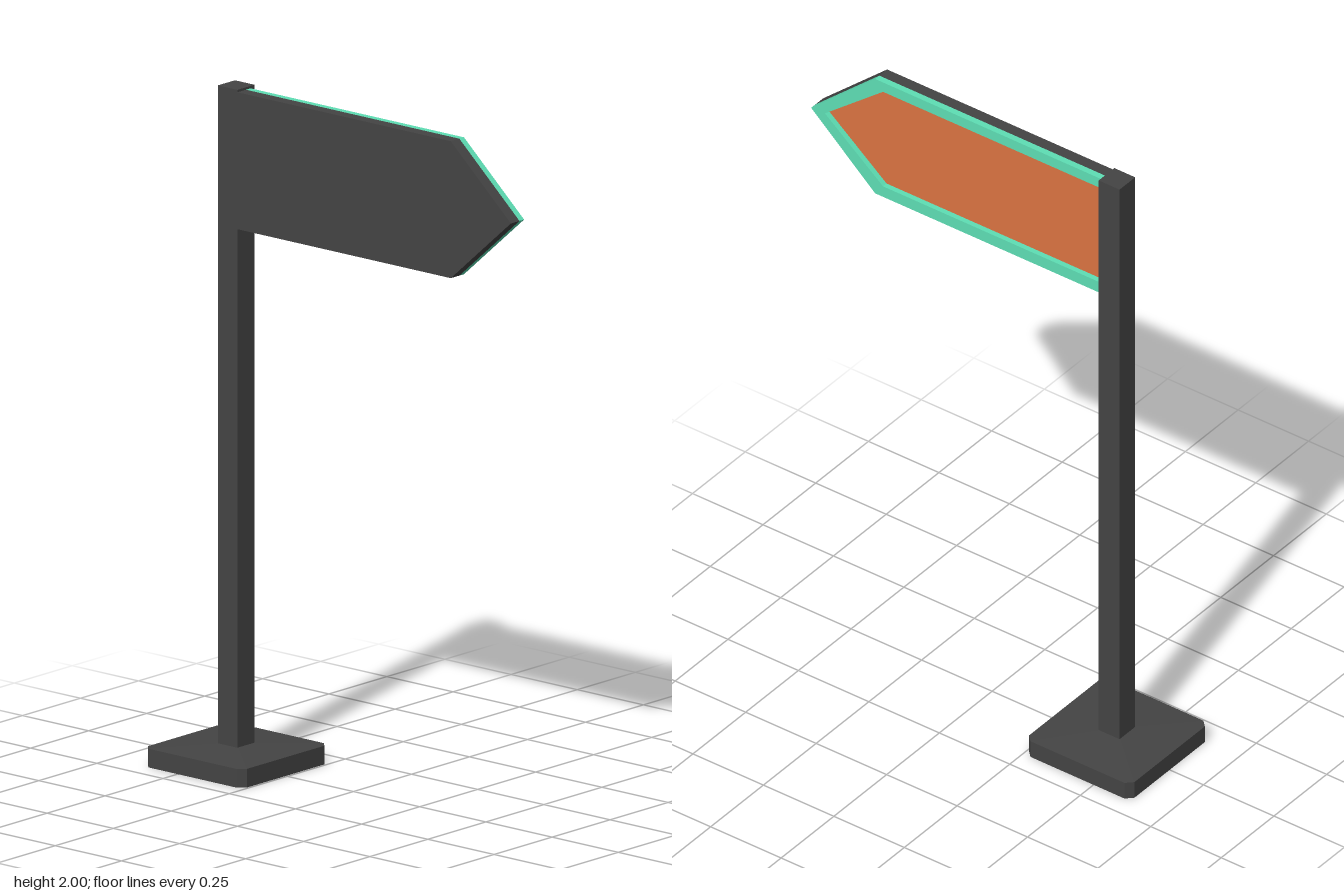
import * as THREE from 'three';

const POST_Z = -0.443;   // centre line of post and base
const BOARD_Z = -0.406;  // board edge that meets the post

const paint = (color) => new THREE.MeshStandardMaterial({ color, flatShading: true });

// Arrow outline in (z, y), open along the post: bottom edge, shoulder, tip, shoulder, top edge
const arrow = (bottom, top, shoulder, tip) => [
  [BOARD_Z, bottom], [shoulder, bottom], [tip, (bottom + top) / 2], [shoulder, top], [BOARD_Z, top],
].map(([z, y]) => new THREE.Vector2(z, y));

// Plate with a (z, y) outline, reaching from xBack to xFront
function plate(name, points, xBack, xFront, material) {
  const geometry = new THREE.ExtrudeGeometry(new THREE.Shape(points), { depth: xFront - xBack, bevelEnabled: false });
  geometry.rotateY(-Math.PI / 2).translate(xFront, 0, 0);
  const mesh = new THREE.Mesh(geometry, material);
  mesh.name = name;
  return mesh;
}

// Square foot with cut corners and a slightly peaked top
function makeBase(material) {
  const geometry = new THREE.CylinderGeometry(1, 1, 0.055, 8, 1, false, Math.PI / 8);
  const p = geometry.attributes.position;
  const snap = (v) => Math.sign(v) * (Math.abs(v) > 0.6 ? 0.187 : 0.167);
  for (let i = 0; i < p.count; i++) {
    const x = p.getX(i), y = p.getY(i), z = p.getZ(i);
    if (Math.hypot(x, z) < 0.01) p.setXYZ(i, 0, y > 0 ? 0.066 : 0, 0);
    else p.setXYZ(i, snap(x), y > 0 ? 0.055 : 0, snap(z));
  }
  const flat = geometry.toNonIndexed();
  flat.computeVertexNormals();
  const mesh = new THREE.Mesh(flat, material);
  mesh.name = 'base';
  mesh.position.z = POST_Z;
  return mesh;
}

export function createModel() {
  const model = new THREE.Group();
  model.name = 'directionSign';
  const dark = paint(0x444444), green = paint(0x5edfb5), orange = paint(0xdb7441);

  // Foot and square post
  model.add(makeBase(dark));
  const post = new THREE.Mesh(new THREE.BoxGeometry(0.074, 1.98, 0.074), dark);
  post.name = 'post';
  post.position.set(0, 1.01, POST_Z);
  model.add(post);

  // Arrow board: dark backing, recessed face and raised rim
  const outer = arrow(1.59, 1.993, 0.4, 0.627);
  const inner = arrow(1.627, 1.96, 0.372, 0.578);
  model.add(plate('boardBacking', outer, -0.037, 0, dark));
  model.add(plate('boardFace', inner, 0, 0.003, orange));
  model.add(plate('boardRim', [...outer, ...inner.slice().reverse()], 0, 0.02, green));
  return model;
}
